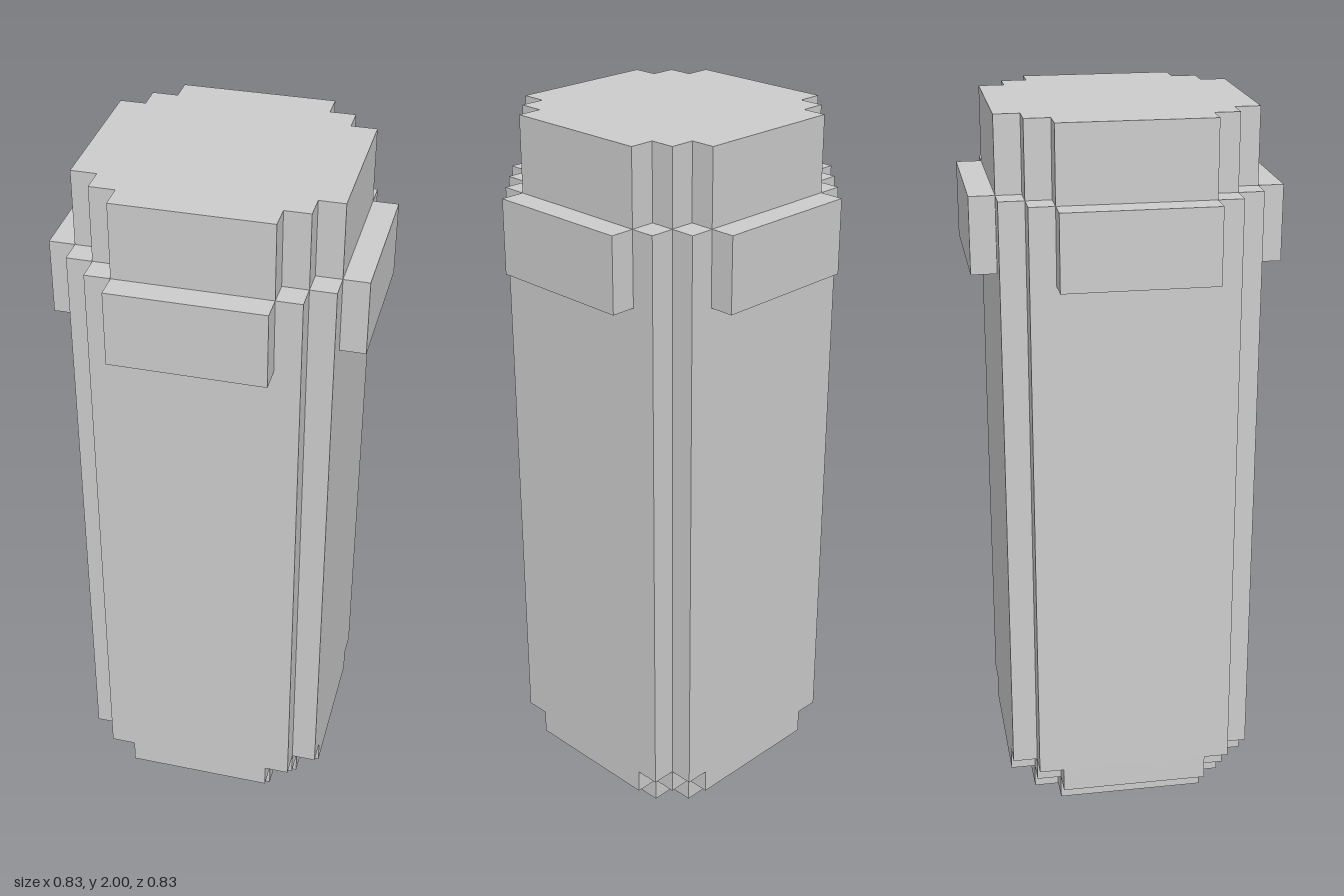
import * as THREE from 'three';

const U = 2 / 29; // one block
const material = new THREE.MeshStandardMaterial({ color: 0xcccccc, flatShading: true });

// Upright prism whose stepped corner is repeated by quarter turns
function steppedPrism(name, corner, y0, y1) {
  const points = [];
  for (let q = 0; q < 4; q++) {
    for (const [a, b] of corner) {
      let x = a, y = b;
      for (let i = 0; i < q; i++) [x, y] = [-y, x];
      points.push(new THREE.Vector2(x * U, y * U));
    }
  }
  const geometry = new THREE.ExtrudeGeometry(new THREE.Shape(points), {
    depth: (y1 - y0) * U, bevelEnabled: false,
  });
  geometry.rotateX(-Math.PI / 2).translate(0, y0 * U, 0);
  const mesh = new THREE.Mesh(geometry, material);
  mesh.name = name;
  return mesh;
}

export function createModel() {
  const model = new THREE.Group();
  model.name = 'pillar';

  const doubleStep = [[5, 3], [4, 3], [4, 4], [3, 4], [3, 5]];
  const singleStep = [[5, 4], [4, 4], [4, 5]];
  const footStep = [[4, 3], [3, 3], [3, 4]];

  // Stacked layers from the ground up
  model.add(
    steppedPrism('foot', footStep, 0, 1),
    steppedPrism('lowerShaft', doubleStep, 1, 2),
    steppedPrism('shaft', singleStep, 2, 26),
    steppedPrism('cap', doubleStep, 26, 29),
  );

  // Raised block on each of the four sides
  const lugGeometry = new THREE.BoxGeometry(6 * U, 3 * U, U).translate(0, 24.5 * U, 5.5 * U);
  ['frontLug', 'leftLug', 'backLug', 'rightLug'].forEach((name, i) => {
    const lug = new THREE.Mesh(lugGeometry, material);
    lug.name = name;
    lug.rotation.y = i * Math.PI / 2;
    model.add(lug);
  });

  return model;
}
